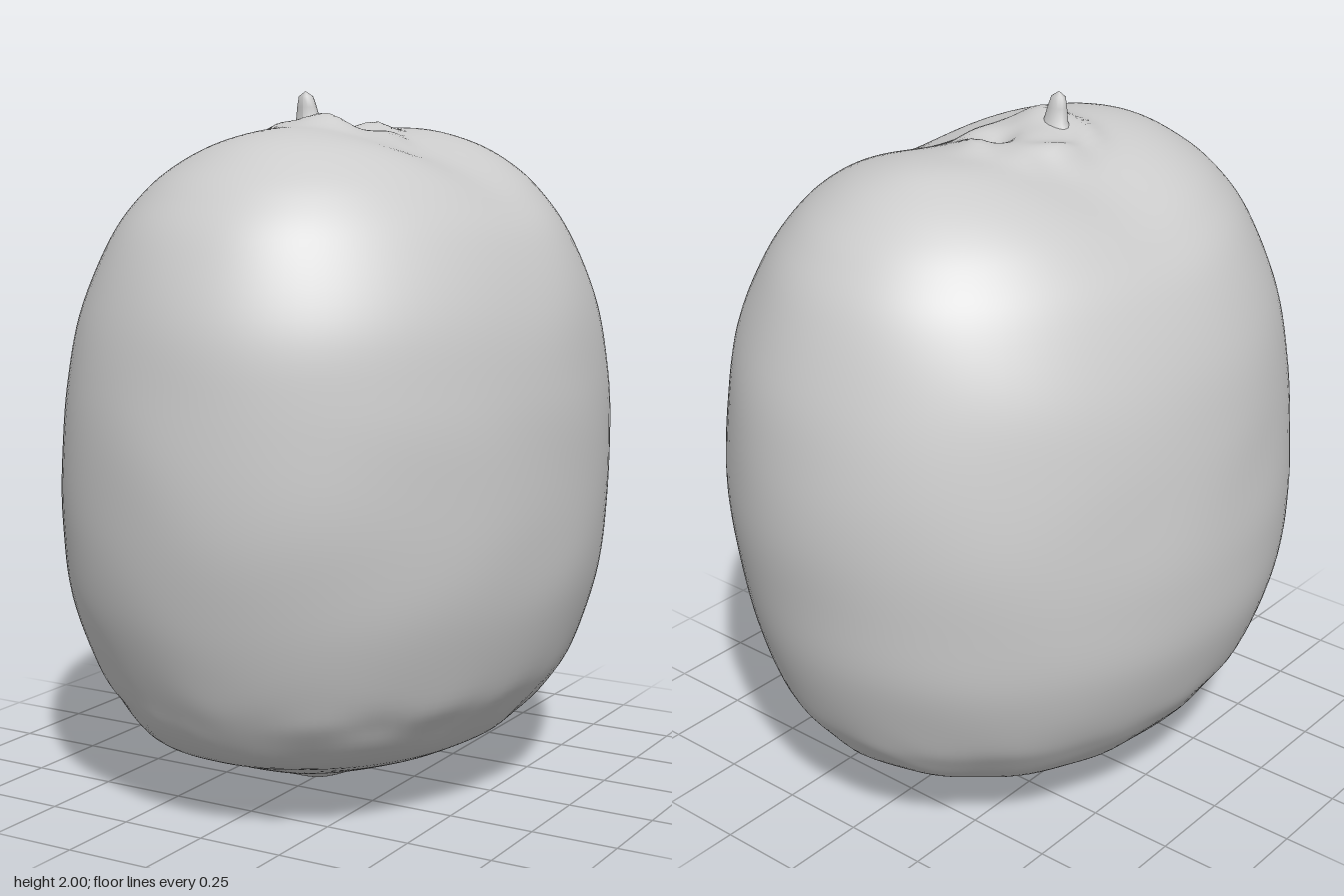
import * as THREE from 'three';
import { mergeVertices } from 'three/addons/utils/BufferGeometryUtils.js';

// Rings from base to crown: y, left/right extent in x, back/front extent in z
const RINGS = [
  [0.0, 0.02, 0.02, 0.13, 0.13],
  [0.02, -0.06, 0.09, -0.08, 0.21],
  [0.05, -0.18, 0.17, -0.24, 0.29],
  [0.1, -0.36, 0.32, -0.39, 0.43],
  [0.15, -0.47, 0.44, -0.53, 0.56],
  [0.2, -0.54, 0.52, -0.66, 0.68],
  [0.3, -0.62, 0.61, -0.76, 0.76],
  [0.4, -0.68, 0.67, -0.815, 0.81],
  [0.6, -0.745, 0.73, -0.875, 0.875],
  [0.8, -0.757, 0.755, -0.905, 0.91],
  [1.0, -0.745, 0.757, -0.92, 0.92],
  [1.2, -0.72, 0.745, -0.905, 0.912],
  [1.4, -0.67, 0.71, -0.865, 0.88],
  [1.6, -0.58, 0.625, -0.785, 0.80],
  [1.72, -0.49, 0.54, -0.70, 0.71],
  [1.8, -0.4, 0.45, -0.61, 0.61],
  [1.86, -0.29, 0.34, -0.51, 0.50],
  [1.9, -0.17, 0.2, -0.39, 0.35],
  [1.915, -0.08, 0.09, -0.2, 0.18],
  [1.92, 0, 0, 0, 0],
];

const bell = (d, width) => Math.exp(-((d / width) ** 2));
const lumps = (x, y, z, f) =>
  (Math.sin(f * x + 1.3 * Math.sin(f * 0.7 * z)) +
    Math.sin(f * 1.2 * y + 1.7 * Math.sin(f * 0.6 * x) + 1) +
    Math.sin(f * 1.1 * z + 1.5 * Math.sin(f * 0.8 * y) + 2)) / 3;

function bodyGeometry() {
  const curve = (a, b) => new THREE.CatmullRomCurve3(
    RINGS.map((r) => new THREE.Vector3(r[0], r[a], r[b])), false, 'catmullrom', 0.5);
  const xs = curve(1, 2), zs = curve(3, 4);
  const geo = new THREE.SphereGeometry(1, 120, 110);
  const pos = geo.attributes.position;
  for (let i = 0; i < pos.count; i++) {
    const t = 1 - Math.acos(THREE.MathUtils.clamp(pos.getY(i), -1, 1)) / Math.PI;
    const angle = Math.atan2(pos.getZ(i), pos.getX(i));
    const px = xs.getPoint(t), pz = zs.getPoint(t);
    let x = (px.y + px.z) / 2 + Math.cos(angle) * (px.z - px.y) / 2;
    let z = (pz.y + pz.z) / 2 + Math.sin(angle) * (pz.z - pz.y) / 2;
    let y = px.x;

    // Skin: nearly smooth, rougher around the lower rim
    const rough = 1 + 0.004 * lumps(x, y, z, 11) + 0.011 * bell(y - 0.24, 0.13) * lumps(x, y, z, 24);
    x *= rough;
    z *= rough;

    // Crown: valley running across x, puckered collar and an off-centre pit
    const crown = THREE.MathUtils.smoothstep(y, 1.45, 1.85);
    const r = Math.hypot(x + 0.01, z - 0.02);
    y -= crown * 0.075 * bell(z, 0.24) * bell(x, 0.75);
    y += crown * (0.065 * bell(r, 0.19) + 0.02 * bell(r - 0.15, 0.06) * (1 + lumps(x, 0, z, 30)));
    y -= crown * 0.045 * bell(Math.hypot(x - 0.06, z + 0.04), 0.07);
    pos.setXYZ(i, x, y, z);
  }
  geo.deleteAttribute('uv');
  geo.deleteAttribute('normal');
  const merged = mergeVertices(geo, 1e-5);
  merged.computeVertexNormals();
  return merged;
}

// Short dry nub, flattened and leaning slightly
function stemGeometry() {
  const profile = [[0.06, 0], [0.038, 0.03], [0.03, 0.07], [0.022, 0.1], [0, 0.115]];
  const geo = new THREE.LatheGeometry(profile.map(([r, y]) => new THREE.Vector2(r, y)), 12);
  const pos = geo.attributes.position;
  for (let i = 0; i < pos.count; i++) {
    const y = pos.getY(i);
    pos.setX(i, pos.getX(i) - 0.05 * y);
    pos.setZ(i, pos.getZ(i) * (0.75 - 3 * y * (0.12 - y)) + 0.1 * y);
  }
  geo.computeVertexNormals();
  return geo;
}

export function createModel() {
  const group = new THREE.Group();
  group.name = 'kiwifruit';
  const material = new THREE.MeshStandardMaterial({ color: 0xcccccc, roughness: 0.8 });
  const body = new THREE.Mesh(bodyGeometry(), material);
  body.name = 'fruitBody';
  const stem = new THREE.Mesh(stemGeometry(), material);
  stem.name = 'stemNub';
  stem.position.set(-0.035, 1.885, 0.12);
  group.add(body, stem);
  return group;
}
